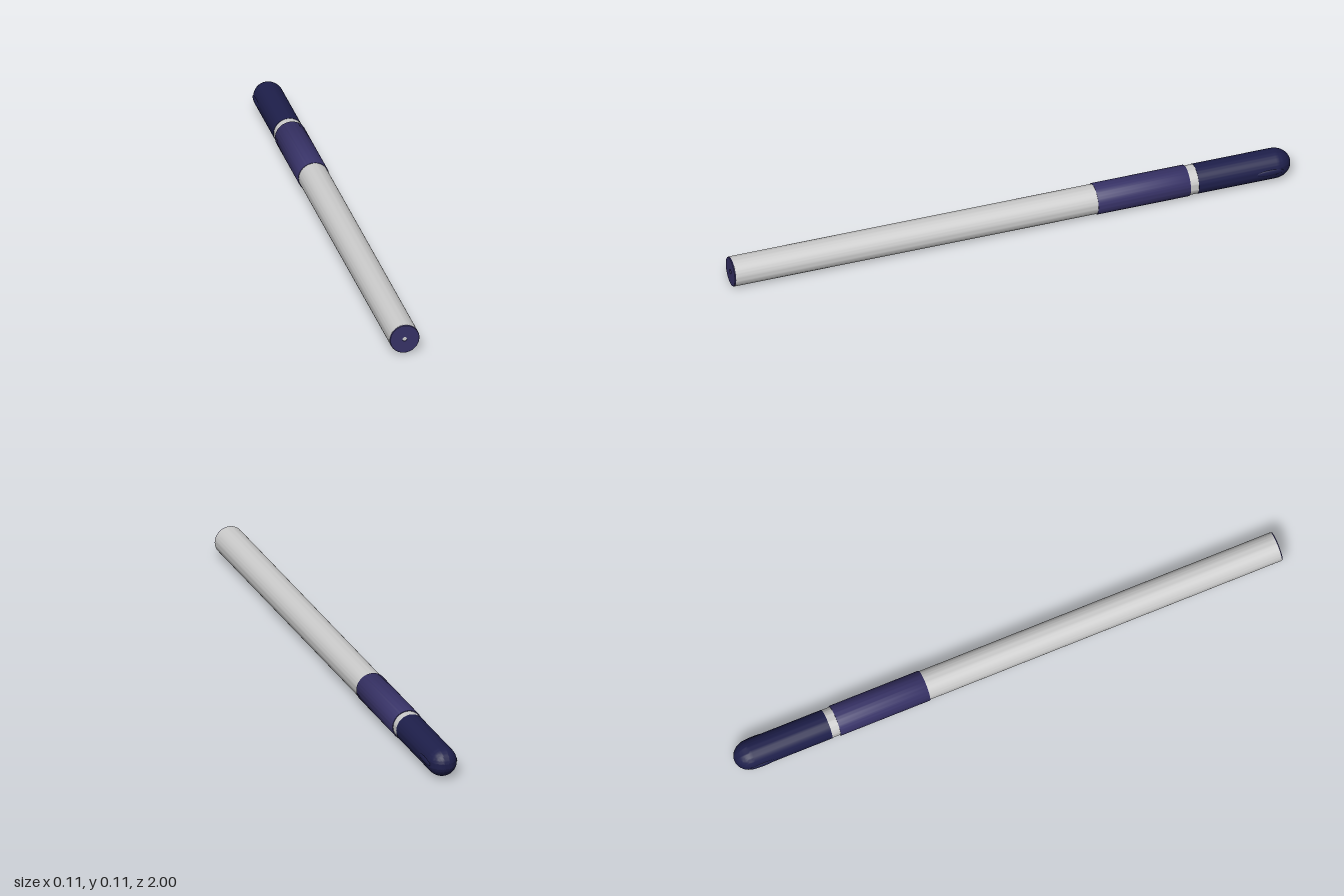
import * as THREE from 'three';
import { toCreasedNormals } from 'three/addons/utils/BufferGeometryUtils.js';

const AXIS_Y = 0.055;
const SEGMENTS = 64;

export function createModel() {
  const pen = new THREE.Group();
  pen.name = 'pen';

  const grey = new THREE.MeshStandardMaterial({ color: 0xcccccc });
  const violet = new THREE.MeshStandardMaterial({ color: 0x373267 });
  const navy = new THREE.MeshStandardMaterial({ color: 0x1e1f4b });

  function add(name, geometry, material) {
    const mesh = new THREE.Mesh(geometry, material);
    mesh.name = name;
    mesh.position.y = AXIS_Y;
    pen.add(mesh);
    return mesh;
  }

  // Turned part along z; profile is [radius, z] from back to front
  function turned(name, profile, material) {
    const points = profile.map(([r, z]) => new THREE.Vector2(r, z));
    const geometry = new THREE.LatheGeometry(points, SEGMENTS).rotateX(Math.PI / 2);
    return add(name, toCreasedNormals(geometry, 0.6), material);
  }

  // Long barrel with a shallow groove near its front end
  turned('barrel', [
    [0, -0.31], [0.052, -0.31], [0.052, 0.97], [0.0515, 0.972],
    [0.052, 0.974], [0.052, 0.996], [0, 0.996],
  ], grey);

  // End plug with a small vent hole
  turned('endPlug', [
    [0, 0.99], [0.0515, 0.99], [0.0515, 0.998], [0.05, 1],
    [0.008, 1], [0.008, 0.992], [0, 0.992],
  ], violet);

  // Wider grip sleeve
  turned('gripSleeve', [
    [0, -0.63], [0.0535, -0.63], [0.0545, -0.628],
    [0.0545, -0.302], [0.0535, -0.3], [0, -0.3],
  ], violet);

  // Pale neck between sleeve and cap
  turned('neckRing', [[0, -0.67], [0.051, -0.67], [0.051, -0.62], [0, -0.62]], grey);

  // Cap with a domed end
  const cap = [];
  const radius = 0.052;
  for (let i = 0; i <= 14; i++) {
    const a = (i / 14) * Math.PI / 2;
    cap.push([radius * Math.sin(a), -0.94 - 0.06 * Math.cos(a)]);
  }
  cap.push([radius, -0.66], [0, -0.66]);
  turned('cap', cap, navy);

  // Slim raised pads on both sides of the cap
  for (const side of [-1, 1]) {
    const pad = add(side > 0 ? 'leftCapPad' : 'rightCapPad',
      new THREE.SphereGeometry(1, 24, 16), navy);
    pad.scale.set(0.006, 0.012, 0.05);
    pad.position.x = side * 0.0495;
    pad.position.z = -0.912;
  }

  return pen;
}
